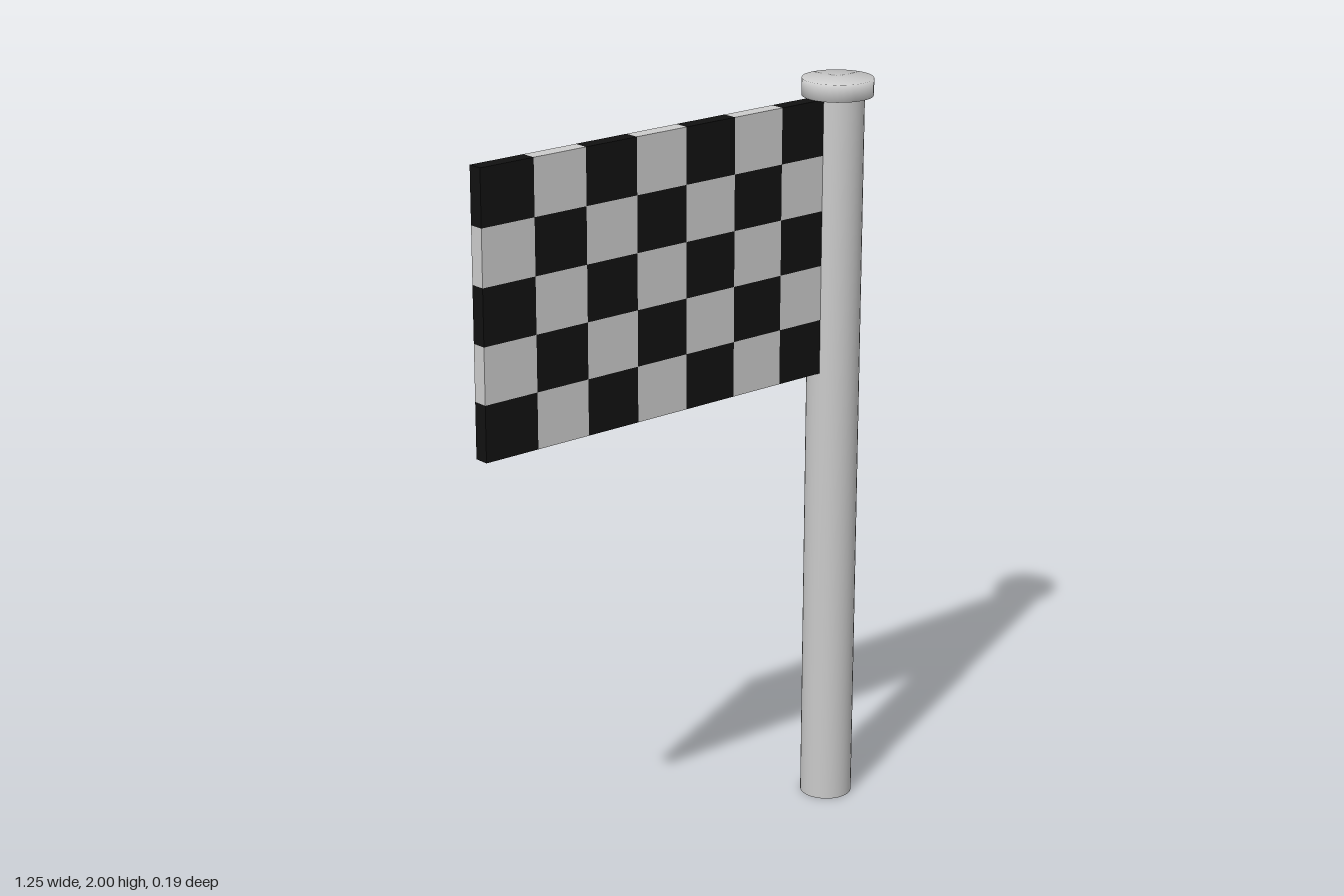
import * as THREE from 'three';

export function createModel() {
  const model = new THREE.Group();
  const grey = new THREE.MeshStandardMaterial({ color: 0xcccccc });
  const black = new THREE.MeshStandardMaterial({ color: 0x111111 });

  // Pole and cap turned as one smooth solid
  const poleX = 0.53, poleR = 0.07, capR = 0.093, capY = 1.955;
  const profile = [
    [0, 0], [poleR, 0], [poleR, capY], [capR, capY], [capR, 2], [0, 2],
  ].map(([r, y]) => new THREE.Vector2(r, y));
  const pole = new THREE.Mesh(new THREE.LatheGeometry(profile, 32), grey);
  pole.name = 'poleWithCap';
  pole.position.x = poleX;
  model.add(pole);

  // Chequered flag: black squares at the corners, last column runs into the pole
  const columns = 7, rows = 5, w = 0.1583, h = 0.146, depth = 0.04;
  const flagLeft = -0.628, flagBottom = 1.225;
  const flag = new THREE.Group();
  flag.name = 'flag';
  const square = new THREE.BoxGeometry(w, h, depth);
  for (let i = 0; i < columns; i++) {
    for (let j = 0; j < rows; j++) {
      const dark = (i + j) % 2 === 0;
      const cell = new THREE.Mesh(square, dark ? black : grey);
      cell.name = dark ? 'darkSquare' : 'lightSquare';
      cell.position.set(flagLeft + (i + 0.5) * w, flagBottom + (j + 0.5) * h, 0);
      flag.add(cell);
    }
  }
  model.add(flag);

  return model;
}
